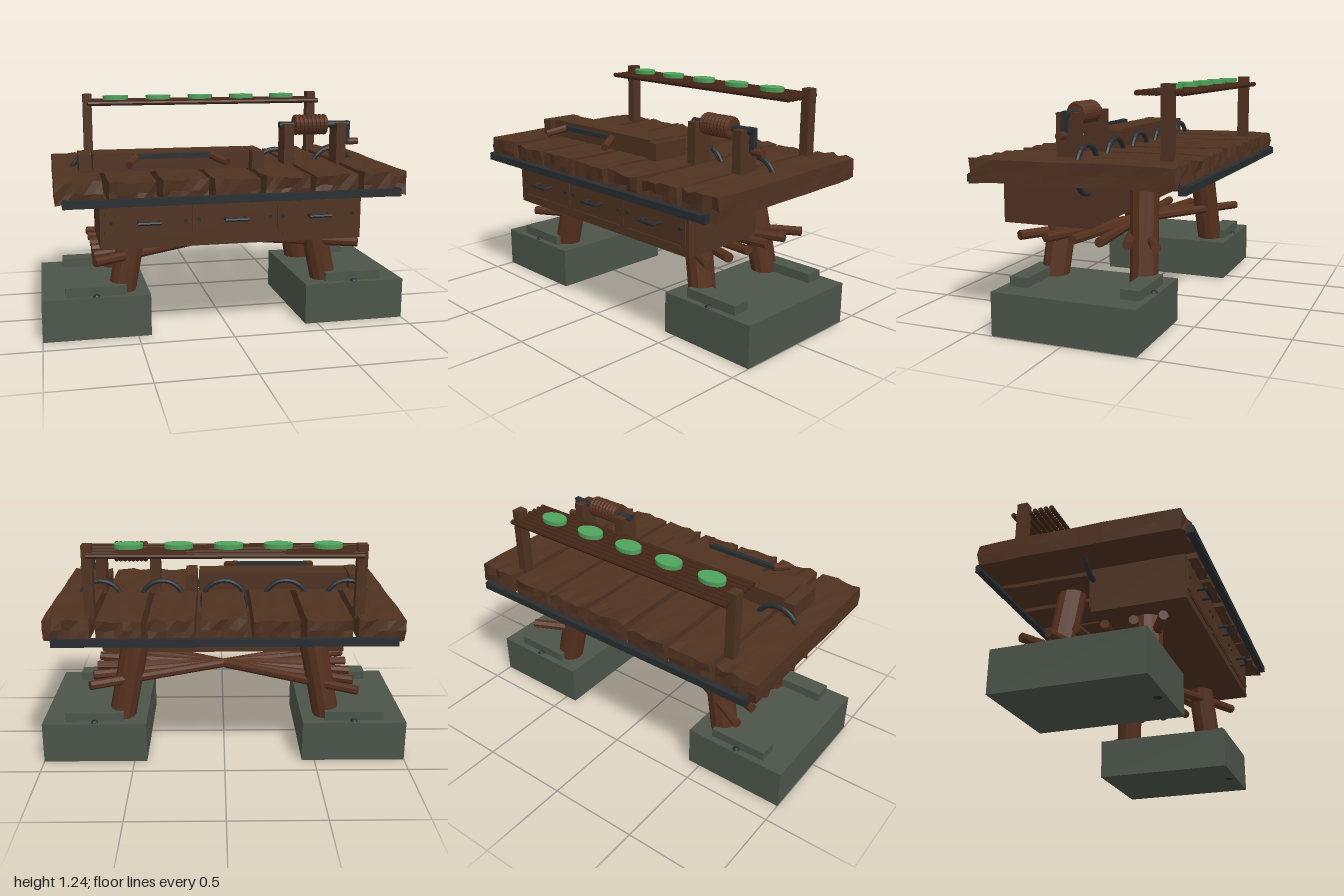
import * as THREE from 'three';

const mat = (name, color) => {
  const m = new THREE.MeshStandardMaterial({ color, flatShading: true });
  m.name = name;
  return m;
};

export function createModel() {
  const model = new THREE.Group();
  model.name = 'workbench';
  const wood = mat('wood', 0x4f3221);
  const bark = mat('roundWood', 0x55301e);
  const stick = mat('darkWood', 0x422617);
  const iron = mat('iron', 0x292d31);
  const stone = mat('stone', 0x4c554a);
  const green = mat('green', 0x50a45c);

  const add = (name, geo, m, x = 0, y = 0, z = 0) => {
    const mesh = new THREE.Mesh(geo, m);
    mesh.name = name;
    mesh.position.set(x, y, z);
    model.add(mesh);
    return mesh;
  };
  // box from its limits on each axis
  const box = (name, m, x0, x1, y0, y1, z0, z1) =>
    add(name, new THREE.BoxGeometry(x1 - x0, y1 - y0, z1 - z0), m, (x0 + x1) / 2, (y0 + y1) / 2, (z0 + z1) / 2);
  // round bar between two points
  const rod = (name, m, a, b, r0, r1 = r0, sides = 10) => {
    const p = new THREE.Vector3(...a), q = new THREE.Vector3(...b);
    const d = q.clone().sub(p);
    const mesh = add(name, new THREE.CylinderGeometry(r1, r0, d.length(), sides), m);
    mesh.position.copy(p).add(q).multiplyScalar(0.5);
    mesh.quaternion.setFromUnitVectors(new THREE.Vector3(0, 1, 0), d.normalize());
    return mesh;
  };

  // repeatable jitter keyed on position, so shared corners stay joined
  const noise = (a, b, c) => {
    const s = Math.sin(a * 127.1 + b * 311.7 + c * 74.7) * 43758.5453;
    return (s - Math.floor(s)) * 2 - 1;
  };

  // foundation stones, ledges and bolts
  for (const s of [-1, 1]) {
    box('foundationStone', stone, s * 0.715 - 0.285, s * 0.715 + 0.285, 0, 0.225, -0.385, 0.385);
    for (const t of [-1, 1]) {
      box('stoneLedge', stone, s * 0.715 - 0.16, s * 0.715 + 0.16, 0.22, 0.275, t * 0.3 - 0.05, t * 0.3 + 0.05);
      add('stoneBolt', new THREE.SphereGeometry(0.022, 10, 8), iron, s * 0.715, 0.218, t * 0.36);
      // splayed legs
      rod('leg', bark, [s * 0.585, 0.15, t * 0.257], [s * 0.465, 0.76, t * 0.215], 0.073, 0.076, 12);
    }
    rod('boltEnd', iron, [s * 0.715, -0.001, 0.34], [s * 0.715, 0.02, 0.34], 0.022);
  }

  // crossing stretcher poles
  for (let i = 0; i < 6; i++) {
    const z = 0.375 - i * 0.15;
    rod('stretcherPole', bark, [-0.72, 0.415, -z], [0.725, 0.452, z], 0.025, 0.026, 8);
  }

  // table top planks with ragged ends
  for (let i = 0; i < 7; i++) {
    const edge = i === 0 || i === 6;
    const geo = new THREE.BoxGeometry(0.236, 0.115, 1.08, 5, 2, 8);
    const p = geo.attributes.position;
    for (let k = 0; k < p.count; k++) {
      const x = p.getX(k), y = p.getY(k), z = p.getZ(k);
      const end = Math.abs(z) > 0.5 ? 1 : 0.25;
      const kx = Math.round(x * 100), ky = Math.round(y * 100), kz = Math.round(z * 100);
      p.setY(k, y + 0.009 * end * noise(kx + i, ky, kz));
      p.setZ(k, z + 0.011 * end * noise(kz, kx, ky + i));
      p.setX(k, x + 0.003 * noise(ky, kz + i, kx));
    }
    geo.computeVertexNormals();
    const plank = add('topPlank', geo, wood, -0.797 + i * 0.267, edge ? 0.812 : 0.808, -0.005);
    plank.rotation.x = 0.015 + 0.01 * noise(i, 3, 5);
  }

  // iron edge bands, front and back
  for (const t of [-1, 1]) {
    box('edgeBand', iron, -0.88, 0.88, 0.742, 0.78, t * 0.56 - 0.018, t * 0.56 + 0.018);
    for (const s of [-1, 1]) {
      box('bandEnd', iron, s * 0.865 - 0.012, s * 0.865 + 0.012, 0.74, 0.785, t * 0.555 - 0.018, t * 0.555 + 0.018);
    }
  }

  // iron rings set through the planks
  for (let i = 0; i < 5; i++) {
    add('ironRing', new THREE.TorusGeometry(0.122, 0.014, 8, 28), iron, -0.7 + i * 0.349, 0.81, 0);
  }

  // drawer cabinet
  box('cabinet', wood, -0.695, 0.692, 0.507, 0.75, -0.012, 0.482);
  box('cabinetBack', wood, -0.67, 0.67, 0.55, 0.74, -0.032, -0.01);
  for (let i = -1; i <= 1; i++) {
    const x = i * 0.45;
    box('drawerFront', wood, x - 0.222, x + 0.222, 0.565, 0.722, 0.48, 0.489);
    box('drawerLip', wood, x - 0.19, x + 0.19, 0.548, 0.558, 0.48, 0.489);
    rod('drawerHandle', iron, [x - 0.06, 0.645, 0.536], [x + 0.06, 0.645, 0.536], 0.01, 0.01, 8);
    for (const s of [-1, 1]) {
      rod('handleStem', iron, [x + s * 0.052, 0.645, 0.485], [x + s * 0.052, 0.645, 0.54], 0.009, 0.009, 8);
      rod('drawerStud', iron, [x + s * 0.19, 0.645, 0.485], [x + s * 0.19, 0.645, 0.496], 0.01, 0.01, 8);
    }
  }

  // timber block clamped between two stops
  box('timberBlock', wood, -0.705, 0.14, 0.86, 0.962, 0.05, 0.217);
  box('timberStop', wood, -0.78, -0.715, 0.85, 0.958, 0.022, 0.247);
  box('timberStop', wood, 0.152, 0.217, 0.85, 0.958, 0.022, 0.247);

  // draw knife with two grips
  box('knifeBlade', iron, -0.5, -0.075, 0.94, 0.965, 0.287, 0.313);
  rod('knifeGrip', bark, [-0.485, 0.95, 0.3], [-0.535, 0.925, 0.405], 0.021, 0.021, 8);
  rod('knifeGrip', bark, [-0.085, 0.95, 0.3], [-0.022, 0.925, 0.4], 0.021, 0.021, 8);

  // winch: posts, axle, wound spool and crank
  for (const x of [0.388, 0.695]) {
    box('winchPost', wood, x - 0.028, x + 0.028, 0.85, 1.088, 0.035, 0.156);
  }
  rod('winchAxle', iron, [0.345, 1.08, 0.095], [0.755, 1.08, 0.095], 0.02);
  rod('winchSpool', bark, [0.43, 1.08, 0.095], [0.62, 1.08, 0.095], 0.045, 0.045, 14);
  for (let i = 0; i < 8; i++) {
    const coil = add('spoolCoil', new THREE.TorusGeometry(0.046, 0.013, 8, 20), bark, 0.443 + i * 0.0235, 1.08, 0.095);
    coil.rotation.y = Math.PI / 2;
  }
  box('crankArm', iron, 0.735, 0.763, 0.975, 1.096, 0.081, 0.109);
  rod('crankGrip', bark, [0.75, 0.98, 0.095], [0.815, 0.98, 0.095], 0.02);

  // rear shelf of round sticks
  for (const s of [-1, 1]) {
    box('shelfPost', wood, s * 0.695 - 0.026, s * 0.695 + 0.026, 0.85, 1.236, -0.452, -0.393);
  }
  for (let i = 0; i < 8; i++) {
    const z = -0.26 - i * 0.0325;
    rod('shelfStick', stick, [-0.697, 1.19, z], [0.692, 1.19, z], 0.0135, 0.0135, 8);
  }

  // oval green dishes
  for (let i = 0; i < 5; i++) {
    const dish = add('greenDish', new THREE.CylinderGeometry(0.075, 0.073, 0.024, 24), green, -0.53 + i * 0.255, 1.217, -0.367);
    dish.scale.z = 0.69;
  }

  return model;
}
